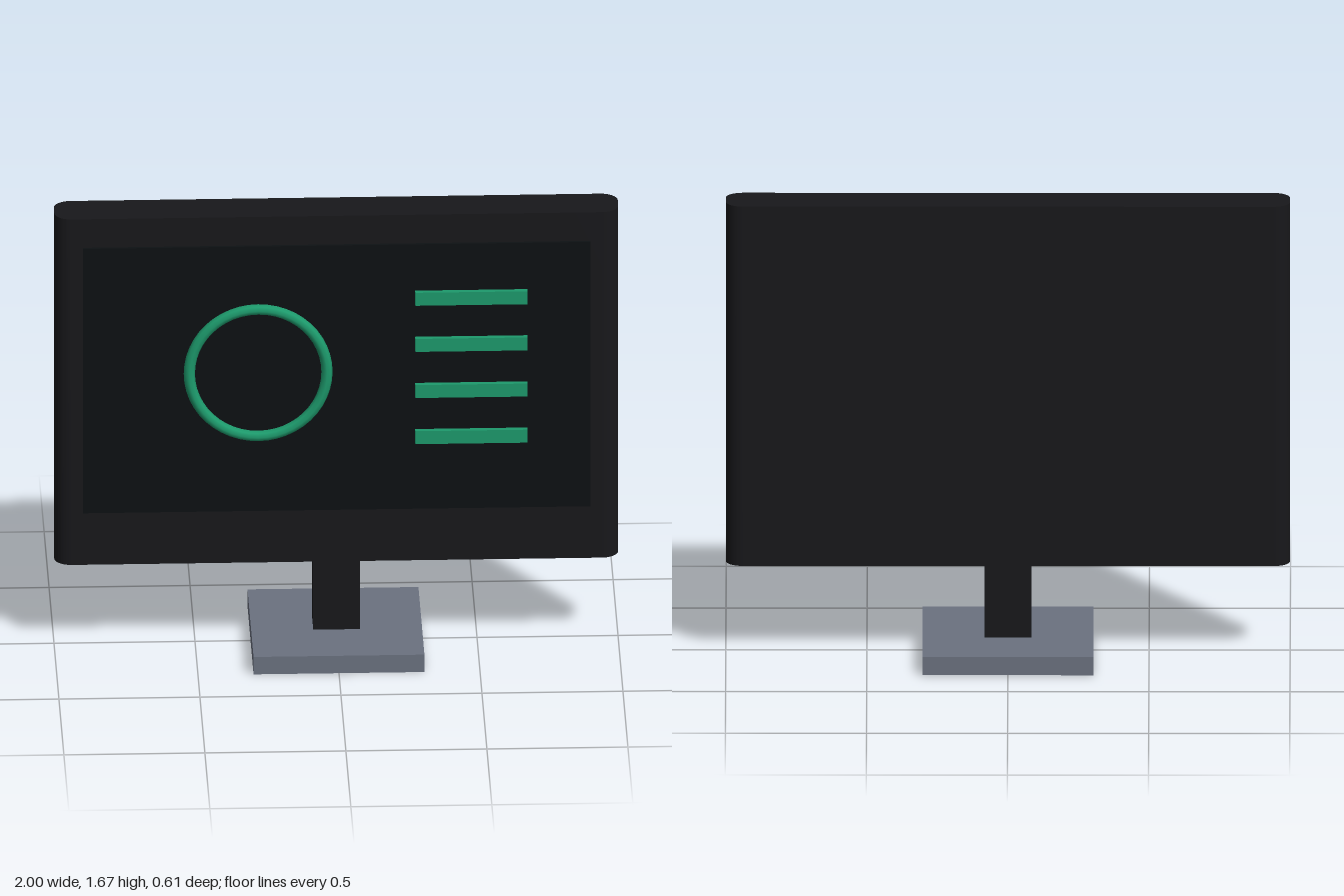
import * as THREE from 'three';
import { toCreasedNormals } from 'three/addons/utils/BufferGeometryUtils.js';

const paint = (color) => new THREE.MeshStandardMaterial({ color });

export function createModel() {
  const model = new THREE.Group();
  model.name = 'monitor';
  const dark = paint(0x18181b);
  const glass = paint(0x0d1113);
  const green = paint(0x1d9a6c);
  const slate = paint(0x6b7280);

  const add = (name, geometry, material, x, y, z, parent = model) => {
    const mesh = new THREE.Mesh(geometry, material);
    mesh.name = name;
    mesh.position.set(x, y, z);
    parent.add(mesh);
    return mesh;
  };
  const box = (w, h, d) => new THREE.BoxGeometry(w, h, d);

  // Stand
  add('base', box(0.606, 0.067, 0.606), slate, 0, 0.0335, 0);
  add('neck', box(0.166, 0.3, 0.132), dark, 0, 0.217, 0);

  // Casing: rounded plan outline extruded upwards, with sharp top and bottom edges
  const w = 1, d = 0.083, r = 0.06;
  const plan = new THREE.Shape();
  plan.absarc(w - r, d - r, r, 0, Math.PI / 2);
  plan.absarc(r - w, d - r, r, Math.PI / 2, Math.PI);
  plan.absarc(r - w, r - d, r, Math.PI, Math.PI * 1.5);
  plan.absarc(w - r, r - d, r, Math.PI * 1.5, Math.PI * 2);
  plan.closePath();
  const casing = new THREE.ExtrudeGeometry(plan, { depth: 1.333, bevelEnabled: false, curveSegments: 8 });
  casing.rotateX(-Math.PI / 2);
  add('casing', toCreasedNormals(casing, 0.6), dark, 0, 0.337, 0);

  // Screen panel, slightly proud of the casing
  add('screen', box(1.8, 1.02, 0.02), glass, 0, 1.05, 0.083);

  // Display: ring on one side, four bars on the other
  const display = new THREE.Group();
  display.name = 'display';
  model.add(display);
  add('ring', new THREE.TorusGeometry(0.244, 0.02, 8, 48), green, -0.28, 1.082, 0.113, display);
  for (let i = 0; i < 4; i++) {
    add('bar' + (i + 1), box(0.398, 0.05, 0.02), green, 0.476, 1.36 - i * 0.178, 0.111, display);
  }

  return model;
}
